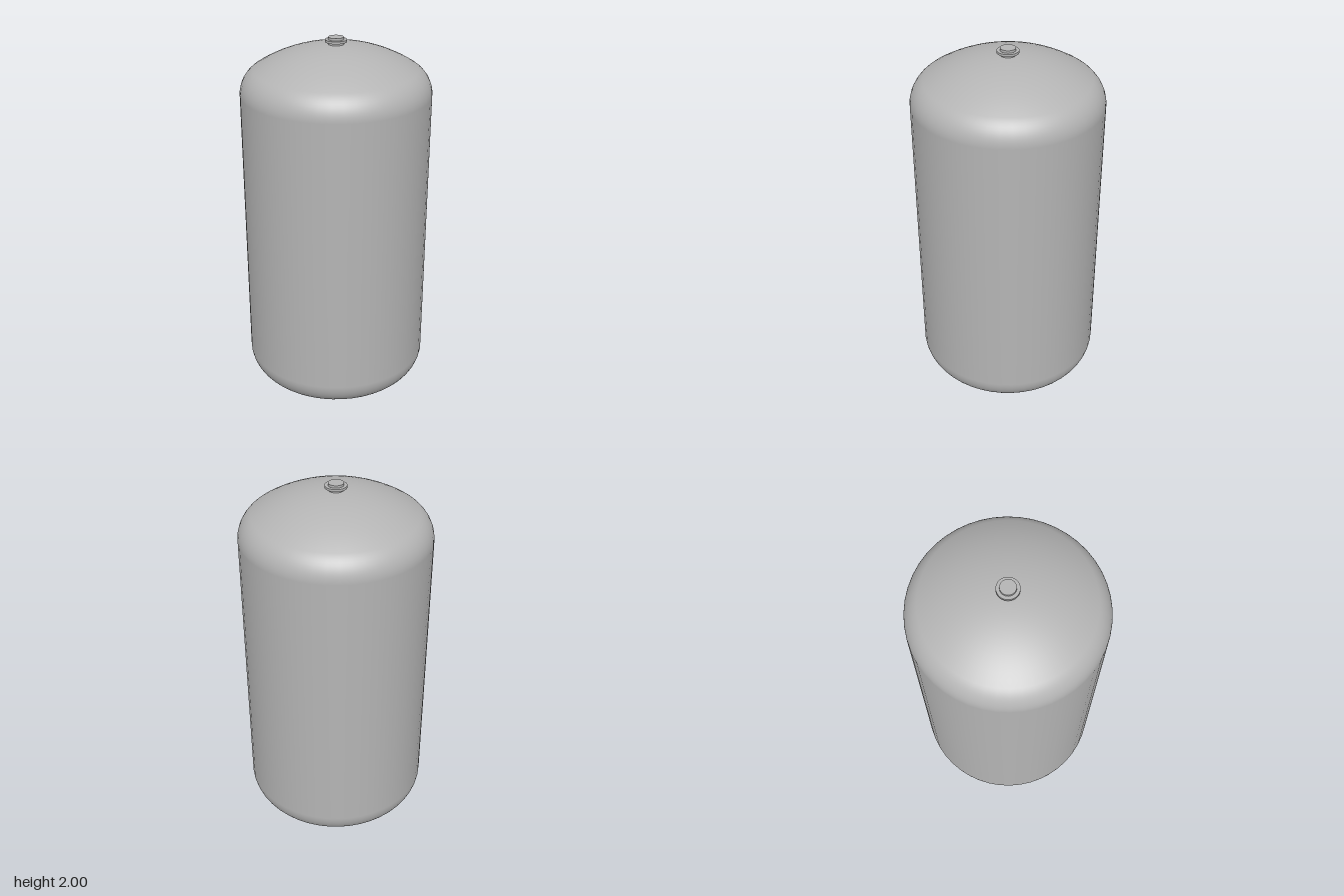
import * as THREE from 'three';

const SEGMENTS = 48;
const RADIUS = 0.477;        // shell radius
const CROWN = 1.6 * RADIUS;  // dished head crown radius
const KNUCKLE = 0.308 * RADIUS;
const HEAD_TOP = 0.965;      // crown height above the tank's middle

// Half profile of the dished head, from the shell up to the axis
function headProfile() {
  const kx = RADIUS - KNUCKLE;
  const cy = HEAD_TOP - CROWN;
  const ky = cy + Math.sqrt((CROWN - KNUCKLE) ** 2 - kx ** 2);
  const join = Math.atan2(ky - cy, kx);
  const points = [];
  for (let i = 0; i <= 10; i++) {
    const a = (join * i) / 10;
    points.push(new THREE.Vector2(kx + KNUCKLE * Math.cos(a), ky + KNUCKLE * Math.sin(a)));
  }
  for (let i = 1; i <= 12; i++) {
    const a = join + ((Math.PI / 2 - join) * i) / 12;
    points.push(new THREE.Vector2(Math.max(0, CROWN * Math.cos(a)), cy + CROWN * Math.sin(a)));
  }
  return points;
}

export function createModel() {
  const model = new THREE.Group();
  model.name = 'pressureTank';
  const steel = new THREE.MeshStandardMaterial({ color: 0xb4b4b4 });
  steel.name = 'greySteel';

  const add = (parent, name, geometry, y = 0) => {
    const mesh = new THREE.Mesh(geometry, steel);
    mesh.name = name;
    mesh.position.y = y;
    parent.add(mesh);
  };

  // Tank body: cylinder with a dished head at each end
  const top = headProfile();
  const bottom = top.map((p) => new THREE.Vector2(p.x, -p.y)).reverse();
  add(model, 'tankBody', new THREE.LatheGeometry([...bottom, ...top], SEGMENTS), 1);

  // Matching nozzles at top and bottom: neck with a flange ring
  for (const side of [1, -1]) {
    const nozzle = new THREE.Group();
    nozzle.name = side > 0 ? 'topNozzle' : 'bottomNozzle';
    nozzle.position.y = 1;
    add(nozzle, 'neck', new THREE.CylinderGeometry(0.038, 0.038, 0.05, SEGMENTS), side * 0.975);
    add(nozzle, 'flange', new THREE.CylinderGeometry(0.054, 0.054, 0.012, SEGMENTS), side * 0.982);
    model.add(nozzle);
  }
  return model;
}
